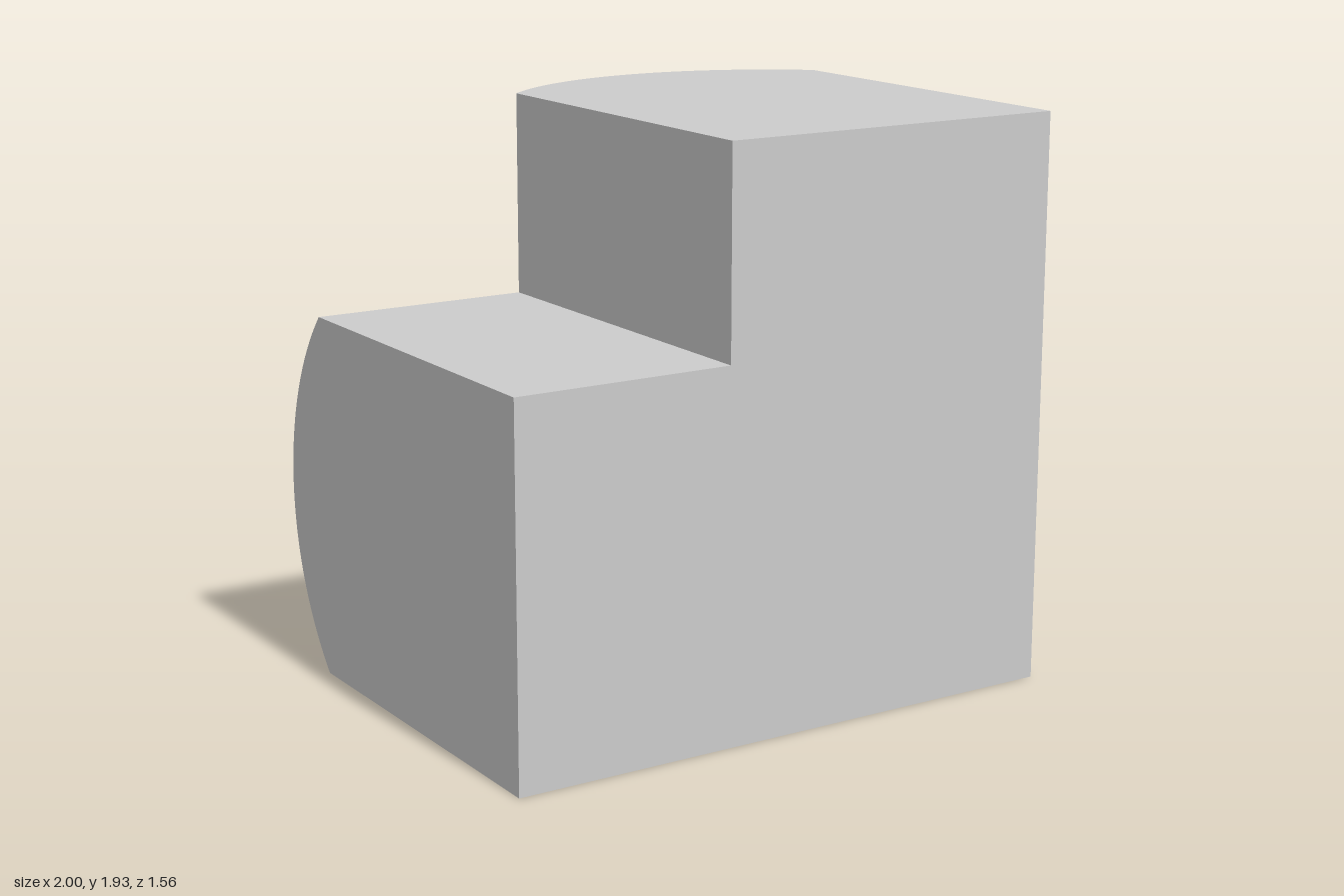
import * as THREE from 'three';
import { toCreasedNormals } from 'three/addons/utils/BufferGeometryUtils.js';

const W = 1.24, H = 1.245, TOP = 1.935;   // leg width, leg height, overall height
const FRONT = 0.78, EDGE = -0.535, BACK = -0.78;

// Cross-section [s, z]: flat front and sides, bowed back; s runs from outer (0) to inner (1) side
function profile(steps = 48) {
  const half = W / 2, sag = EDGE - BACK;
  const r = (half * half + sag * sag) / (2 * sag);
  const a = Math.asin(half / r);
  const points = [[0, FRONT], [1, FRONT]];
  for (let i = 0; i <= steps; i++) {
    const t = a - (2 * a * i) / steps;
    points.push([0.5 + (r * Math.sin(t)) / W, BACK + r - r * Math.cos(t)]);
  }
  return points;
}

// Sweep the section through a mitred corner: side end, mitre, top end
function elbowGeometry() {
  const section = profile(), n = section.length;
  const rings = [
    section.map(([s, z]) => [-1, s * H, z]),
    section.map(([s, z]) => [1 - s * W, s * H, z]),
    section.map(([s, z]) => [1 - s * W, TOP, z]),
  ];
  const pos = [];
  const tri = (a, b, c) => pos.push(...a, ...b, ...c);
  for (let k = 0; k < 2; k++) {
    const A = rings[k], B = rings[k + 1];
    for (let i = 0; i < n; i++) {
      const j = (i + 1) % n;
      tri(A[i], B[i], B[j]);
      tri(A[i], B[j], A[j]);
    }
  }
  // End caps
  const S = rings[0], E = rings[2];
  for (let i = 1; i < n - 1; i++) {
    tri(S[0], S[i], S[i + 1]);
    tri(E[0], E[i + 1], E[i]);
  }
  const g = new THREE.BufferGeometry();
  g.setAttribute('position', new THREE.Float32BufferAttribute(pos, 3));
  return toCreasedNormals(g, Math.PI / 6);
}

export function createModel() {
  const group = new THREE.Group();
  group.name = 'mitredElbow';
  const body = new THREE.Mesh(elbowGeometry(), new THREE.MeshStandardMaterial({ color: 0xcccccc }));
  body.name = 'elbowBody';
  group.add(body);
  return group;
}
